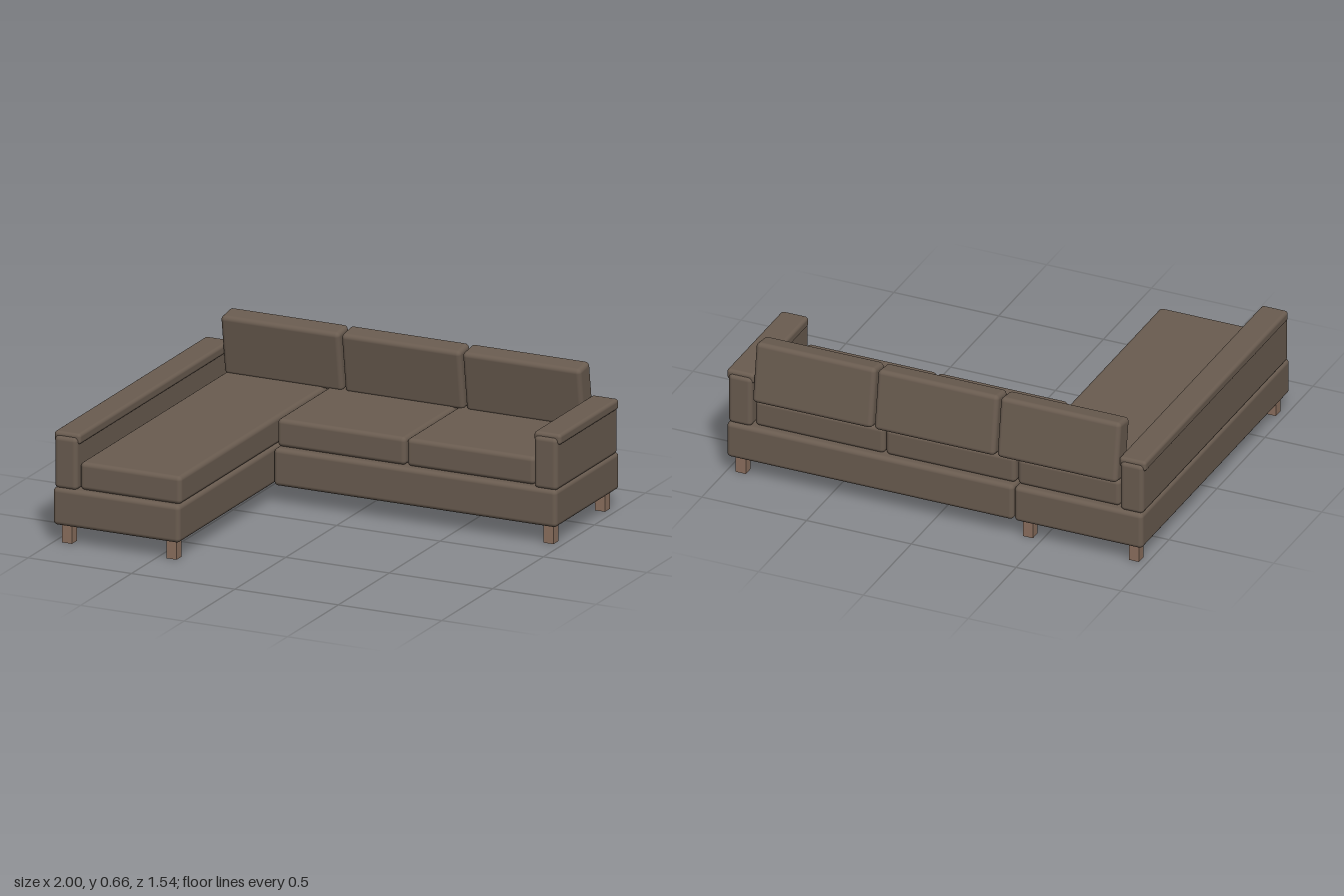
import * as THREE from 'three';
import { RoundedBoxGeometry } from 'three/addons/geometries/RoundedBoxGeometry.js';

export function createModel() {
  const sofa = new THREE.Group();
  sofa.name = 'cornerSofa';

  const fabric = new THREE.MeshStandardMaterial({ color: 0x6a5c50 });
  fabric.name = 'brownFabric';
  const wood = new THREE.MeshStandardMaterial({ color: 0x8c705f });
  wood.name = 'legWood';

  // Rounded upholstered block given by its extents on each axis
  function block(name, [x0, x1], [y0, y1], [z0, z1], radius = 0.02) {
    const geometry = new RoundedBoxGeometry(x1 - x0, y1 - y0, z1 - z0, 4, radius);
    const mesh = new THREE.Mesh(geometry, fabric);
    mesh.name = name;
    mesh.position.set((x0 + x1) / 2, (y0 + y1) / 2, (z0 + z1) / 2);
    sofa.add(mesh);
    return mesh;
  }

  // Bases: long chaise on the right, two-seater beside it
  const baseY = [0.085, 0.256];
  block('chaiseBase', [-0.995, -0.382], baseY, [-0.77, 0.773]);
  block('seatBase', [-0.378, 0.99], baseY, [-0.77, -0.143]);

  // Arms: upright panel with a slightly wider padded cap
  const armY = [0.25, 0.49], capY = [0.457, 0.506];
  block('chaiseArm', [-0.992, -0.882], armY, [-0.757, 0.763]);
  block('chaiseArmCap', [-1, -0.873], capY, [-0.745, 0.748], 0.015);
  block('seatArm', [0.876, 0.988], armY, [-0.757, -0.153]);
  block('seatArmCap', [0.87, 1], capY, [-0.745, -0.166], 0.015);

  // Seat cushions
  const cushionY = [0.254, 0.381];
  block('chaiseCushion', [-0.874, -0.386], cushionY, [-0.74, 0.75]);
  block('seatCushionInner', [-0.376, 0.244], cushionY, [-0.74, -0.176]);
  block('seatCushionOuter', [0.25, 0.868], cushionY, [-0.74, -0.176]);

  // Back cushions, tilted with the top edge forward
  for (const span of [[-0.873, -0.3], [-0.29, 0.286], [0.296, 0.867]]) {
    const cushion = block('backCushion', span, [0.376, 0.656], [-0.7525, -0.6455]);
    cushion.rotation.x = THREE.MathUtils.degToRad(8.5);
  }

  // Square wooden legs
  const legGeometry = new THREE.BoxGeometry(0.048, 0.09, 0.048);
  const legSpots = [
    [-0.94, -0.71], [-0.434, -0.71], [0.936, -0.71],
    [0.936, -0.203], [-0.94, 0.716], [-0.434, 0.716],
  ];
  for (const [x, z] of legSpots) {
    const leg = new THREE.Mesh(legGeometry, wood);
    leg.name = 'leg';
    leg.position.set(x, 0.045, z);
    sofa.add(leg);
  }

  return sofa;
}
